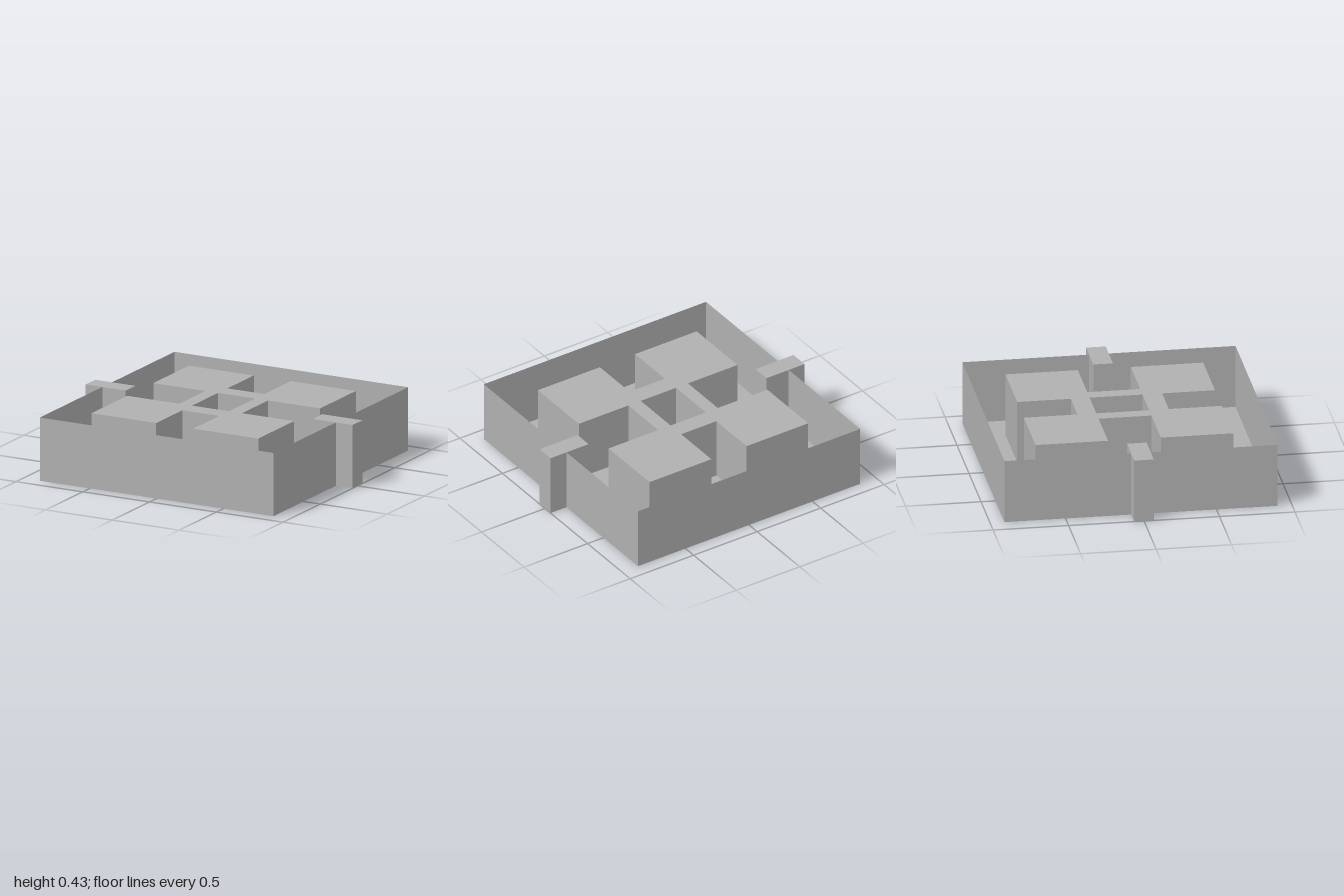
import * as THREE from 'three';

const H = 0.43; // common height of tray, raised block and tabs

export function createModel() {
  const group = new THREE.Group();
  const grey = new THREE.MeshStandardMaterial({ color: 0xb0b0b0, side: THREE.DoubleSide });
  grey.name = 'plain grey';

  const add = (name, geometry, x = 0, y = 0, z = 0) => {
    const mesh = new THREE.Mesh(geometry, grey);
    mesh.name = name;
    mesh.position.set(x, y, z);
    group.add(mesh);
  };

  // Open tray: thin walls and floor, a box without its top face
  const tray = new THREE.BoxGeometry(1.75, H, 1.81);
  const index = Array.from(tray.index.array);
  index.splice(12, 6);
  tray.setIndex(index);
  tray.clearGroups();
  add('tray', tray, 0, H / 2, 0);

  // Raised block: four corner pads joined around a square well (plan in x, z)
  const plan = [
    [-0.63, -0.66], [-0.145, -0.66], [-0.145, -0.305], [0.132, -0.305], [0.132, -0.66],
    [0.62, -0.66], [0.62, -0.18], [0.23, -0.18], [0.23, 0.17], [0.62, 0.17],
    [0.62, 0.65], [0.132, 0.65], [0.132, 0.3], [-0.145, 0.3], [-0.145, 0.65],
    [-0.63, 0.65], [-0.63, 0.17], [-0.24, 0.17], [-0.24, -0.18], [-0.63, -0.18],
  ];
  const well = [[-0.145, -0.18], [-0.145, 0.17], [0.132, 0.17], [0.132, -0.18]];
  const toPoints = (list) => list.map(([x, z]) => new THREE.Vector2(x, z));
  const shape = new THREE.Shape(toPoints(plan));
  shape.holes.push(new THREE.Path(toPoints(well)));
  const block = new THREE.ExtrudeGeometry(shape, { depth: H - 0.005, bevelEnabled: false });
  block.rotateX(Math.PI / 2);
  add('raisedBlock', block, 0, H, 0);

  // Side tabs passing through the left and right walls
  for (const side of [-1, 1]) {
    add(side > 0 ? 'leftTab' : 'rightTab', new THREE.BoxGeometry(0.3, H, 0.13), side * 0.85, H / 2, 0);
  }

  return group;
}
